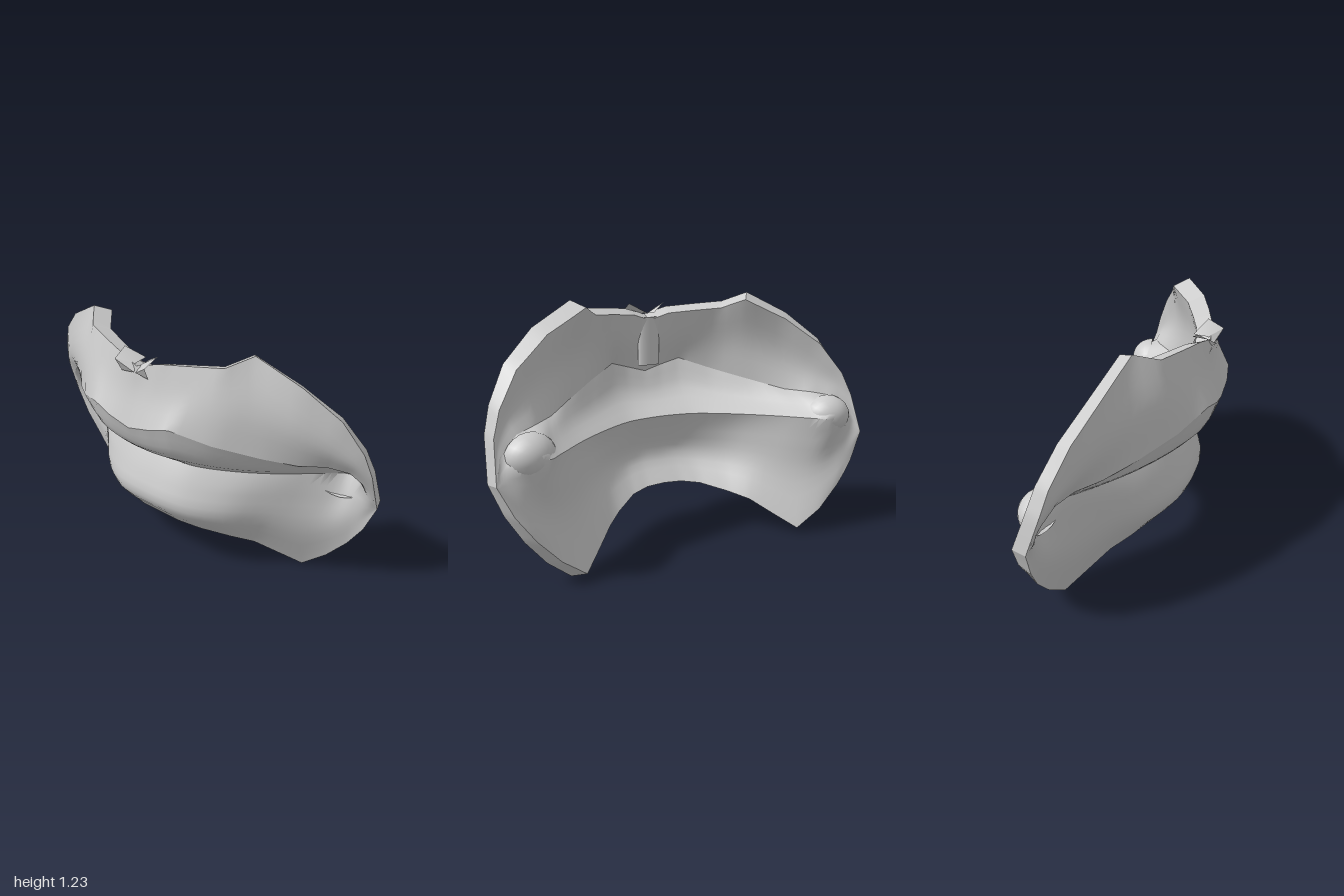
import * as THREE from 'three';
import { toCreasedNormals } from 'three/addons/utils/BufferGeometryUtils.js';

const grey = new THREE.MeshStandardMaterial({ color: 0xcccccc, side: THREE.DoubleSide });
grey.name = 'plain grey';

// Contour lines of one half, from the middle outwards: x, y, z per point
const topRim = [[0, 1.12, .285], [.12, 1.155, .265], [.25, 1.167, .22], [.4, 1.18, .16], [.49, 1.23, .06],
  [.7, 1.12, 0], [.86, .98, -.08], [.95, .82, -.145], [.985, .7, -.18]];
const upperMid = [[0, 1, .3], [.12, 1, .3], [.25, 1.02, .265], [.41, 1, .205], [.55, .99, .11],
  [.71, .91, .02], [.83, .83, -.06], [.92, .76, -.125], [.975, .66, -.185]];
const lipRidge = [[0, .83, .35], [.12, .86, .352], [.23, .89, .335], [.4, .83, .24], [.58, .77, .1],
  [.7, .73, -.01], [.8, .72, -.1], [.89, .7, -.15], [.97, .62, -.2]];
const underLip = [[0, .71, .295], [.12, .72, .295], [.23, .73, .275], [.4, .7, .17], [.58, .68, .03],
  [.73, .665, -.13], [.82, .665, -.23], [.89, .65, -.215], [.965, .59, -.21]];
const mouthLine = [[0, .612, .16], [.12, .611, .155], [.23, .61, .135], [.4, .608, .05], [.58, .606, -.08],
  [.73, .604, -.22], [.82, .6, -.295], [.9, .595, -.26], [.965, .56, -.22]];
const lowerLip = [[0, .54, .195], [.12, .54, .19], [.23, .54, .165], [.4, .54, .08], [.56, .54, -.05],
  [.72, .54, -.2], [.82, .53, -.265], [.89, .53, -.25], [.96, .52, -.235]];
const chinBelly = [[0, .38, .235], [.12, .38, .23], [.23, .37, .2], [.38, .36, .11], [.52, .34, -.03],
  [.67, .3, -.16], [.78, .33, -.225], [.87, .38, -.25], [.94, .43, -.255]];
const bottomRim = [[0, .24, .13], [.12, .235, .125], [.23, .22, .09], [.36, .18, 0], [.45, .145, -.08],
  [.64, 0, -.25], [.76, .1, -.275], [.86, .22, -.28], [.94, .35, -.265]];
const SUB = 4;

// Mirrors a half contour and resamples it; rims stay straight between points
function contour(half, straight) {
  const right = [...half, [1, .5, -.25]];
  const left = right.slice(1).reverse().map(([x, y, z]) => [-x, y, z]);
  const pts = [...left, ...right].map(p => new THREE.Vector3(...p));
  const curve = new THREE.CatmullRomCurve3(pts), n = (pts.length - 1) * SUB;
  return Array.from({ length: n + 1 }, (_, i) => {
    if (!straight) return curve.getPoint(i / n);
    const k = Math.min(Math.floor(i / SUB), pts.length - 2);
    return pts[k].clone().lerp(pts[k + 1], i / SUB - k);
  });
}

// Skins a list of rows that all have the same number of points
function sheet(name, rows, crease = .9) {
  const w = rows[0].length, index = [];
  for (let r = 0; r < rows.length - 1; r++) for (let c = 0; c < w - 1; c++) {
    const a = r * w + c, b = a + w;
    index.push(a, b, a + 1, b, b + 1, a + 1);
  }
  const geo = new THREE.BufferGeometry().setFromPoints(rows.flat());
  geo.setIndex(index);
  const mesh = new THREE.Mesh(toCreasedNormals(geo, crease), grey);
  mesh.name = name;
  return mesh;
}

// Fills in smooth rows between the given ones
function section(rows, steps) {
  const curves = rows[0].map((_, c) => new THREE.CatmullRomCurve3(rows.map(r => r[c])));
  return Array.from({ length: steps + 1 }, (_, i) => curves.map(k => k.getPoint(i / steps)));
}

// Back wall position for a point of the front wall
const inset = v => new THREE.Vector3(
  v.x * (.98 - .17 * (1 - Math.abs(v.x))), v.y + (.6 - v.y) * .05, Math.max(v.z - .072, -.345));

export function createModel() {
  const group = new THREE.Group();
  group.name = 'muzzle';
  const T = contour(topRim, true), U = contour(upperMid), L = contour(lipRidge, true), K = contour(underLip),
    M = contour(mouthLine), N = contour(lowerLip), D = contour(chinBelly), B = contour(bottomRim, true);

  // Upper lip above the ridge; underside, mouth band and chin below it
  const upper = section([T, U, L], 8);
  const lower = [...section([L, K, M], 6), N, ...section([N, D, B], 8).slice(1)];
  for (const [name, rows] of [['UpperLip', upper], ['MouthAndChin', lower]]) {
    group.add(sheet('outer' + name, rows));
    group.add(sheet('inner' + name, rows.map(row => row.map(inset)).reverse()));
  }

  // Rims that join the front and back walls
  group.add(sheet('upperRim', [T.map(inset), T], .4));
  group.add(sheet('lowerRim', [B, B.map(inset)], .4));

  for (const s of [-1, 1]) {
    // Small folded flaps beside the notch at the top
    const row = pts => pts.map(([x, y, z]) => new THREE.Vector3(s * x, y, z));
    group.add(sheet('notchFlap', [
      row([[.015, 1.13, .2], [.1, 1.18, .25]]),
      row([[.015, 1.125, .27], [.09, 1.145, .328]]),
      row([[.005, 1.09, .295], [.08, 1.08, .295]])
    ], .3));

    // Rounded bulb behind each mouth corner
    const bulb = new THREE.Mesh(
      new THREE.SphereGeometry(1, 20, 8, 0, Math.PI * 2, 0, Math.PI / 2).rotateX(-Math.PI / 2), grey);
    bulb.scale.set(.125, .105, .115);
    bulb.position.set(s * .81, .6, -.235);
    bulb.rotation.y = s * .25;
    bulb.name = 'cornerBulb';
    group.add(bulb);
  }

  // Shallow ridge down the middle of the back wall
  const ridge = new THREE.Mesh(new THREE.CylinderGeometry(.06, .06, .25, 10, 1, true, Math.PI / 2, Math.PI), grey);
  ridge.scale.z = .4;
  ridge.position.set(0, .985, .232);
  ridge.name = 'innerRidge';
  group.add(ridge);
  return group;
}
